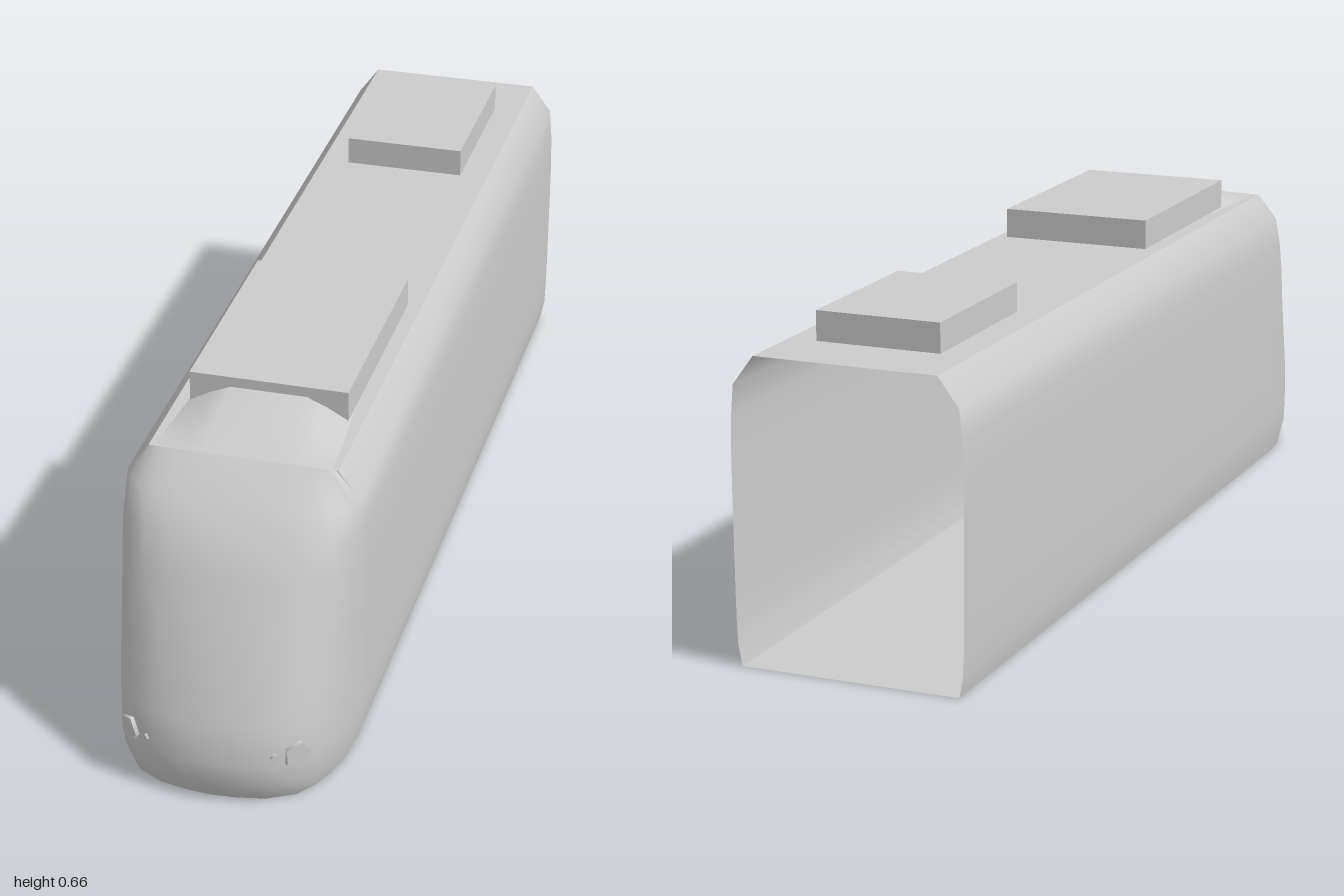
import * as THREE from 'three';

const TAIL = -1, JOINT = 0.73, ROOF = 0.597;

// Section levels from floor to roof: [height, half width, front z of the nose]
const LEVELS = [
  [0, 0.22, 0.975], [0.04, 0.228, 0.997], [0.09, 0.23, 1], [0.17, 0.231, 0.99],
  [0.33, 0.232, 0.923], [0.42, 0.232, 0.882], [0.48, 0.23, 0.85], [0.54, 0.225, 0.8], [ROOF, 0.183, JOINT],
];

// Rounded nose plan: [fraction of half width, fraction of nose length]
const HALF_PLAN = [[1, 0], [0.97, 0.3], [0.91, 0.5], [0.83, 0.67], [0.7, 0.83], [0.47, 0.94], [0.22, 0.985]];
const PLAN = [
  ...HALF_PLAN.map(([x, z]) => [-x, z]),
  [0, 1],
  ...[...HALF_PLAN].reverse(),
];

// Smooth surface through equal-length rows of [x, y, z] points
function loft(rows) {
  const n = rows[0].length, index = [];
  for (let i = 0; i < rows.length - 1; i++) {
    for (let j = 0; j < n - 1; j++) {
      const a = i * n + j, b = a + n;
      index.push(a, a + 1, b, a + 1, b + 1, b);
    }
  }
  const geometry = new THREE.BufferGeometry();
  geometry.setAttribute('position', new THREE.Float32BufferAttribute(rows.flat(2), 3));
  geometry.setIndex(index);
  geometry.computeVertexNormals();
  return geometry;
}

export function createModel() {
  const group = new THREE.Group();
  const paint = new THREE.MeshStandardMaterial({ color: 0xcccccc, side: THREE.DoubleSide });
  paint.name = 'light grey';

  const add = (name, geometry, x = 0, y = 0, z = 0) => {
    const mesh = new THREE.Mesh(geometry, paint);
    mesh.name = name;
    mesh.position.set(x, y, z);
    group.add(mesh);
    return mesh;
  };

  // Side walls, curving in to the roof
  const wall = (side, z) => LEVELS.map(([y, w]) => [side * w, y, z]);
  add('leftWall', loft([wall(1, TAIL), wall(1, JOINT)]));
  add('rightWall', loft([wall(-1, JOINT), wall(-1, TAIL)]));

  // Flat roof; the tail end stays open
  const roofW = LEVELS[LEVELS.length - 1][1];
  add('roof', loft([JOINT, TAIL].map(z => [[-roofW, ROOF, z], [roofW, ROOF, z]])));

  // Sloping rounded nose
  add('nose', loft(LEVELS.map(([y, w, front]) =>
    PLAN.map(([x, z]) => [x * w, y, JOINT + z * (front - JOINT)]))));

  // Floor follows the nose plan
  const [, floorW, floorFront] = LEVELS[0];
  const floorRows = [[1, TAIL], ...[...HALF_PLAN, [0, 1]].map(([x, z]) => [x, JOINT + z * (floorFront - JOINT)])];
  add('floor', loft(floorRows.map(([x, z]) => [[-x * floorW, 0, z], [x * floorW, 0, z]])));

  // Low fairing rising from the nose to the front roof unit
  const fairing = [[0.73, 0.002, 0.17], [0.68, 0.019, 0.169], [0.62, 0.035, 0.165], [0.56, 0.042, 0.16], [0.5, 0.042, 0.156]];
  add('roofFairing', loft(fairing.map(([z, h, w]) => [
    [-w, ROOF, z], [-0.115, ROOF + h * 0.6, z], [-0.075, ROOF + h, z],
    [0.075, ROOF + h, z], [0.115, ROOF + h * 0.6, z], [w, ROOF, z],
  ])));

  // Roof equipment boxes
  add('frontRoofUnit', new THREE.BoxGeometry(0.312, 0.06, 0.465), 0, 0.63, 0.3225);
  add('rearRoofUnit', new THREE.BoxGeometry(0.25, 0.058, 0.35), 0, 0.627, -0.685);

  // Five-sided headlights and small four-sided marker lights
  for (const side of [1, -1]) {
    const label = side > 0 ? 'left' : 'right';
    const lamp = (name, radius, sides, x, z, yaw) => {
      const disc = new THREE.CylinderGeometry(radius, radius, 0.008, sides);
      disc.rotateX(Math.PI / 2).rotateZ(Math.PI / 2);
      add(label + name, disc, side * x, 0.11, z).rotation.y = side * yaw;
    };
    lamp('Headlight', 0.028, 5, 0.163, 0.953, 0.73);
    lamp('MarkerLight', 0.008, 4, 0.125, 0.974, 0.5);
  }
  return group;
}
